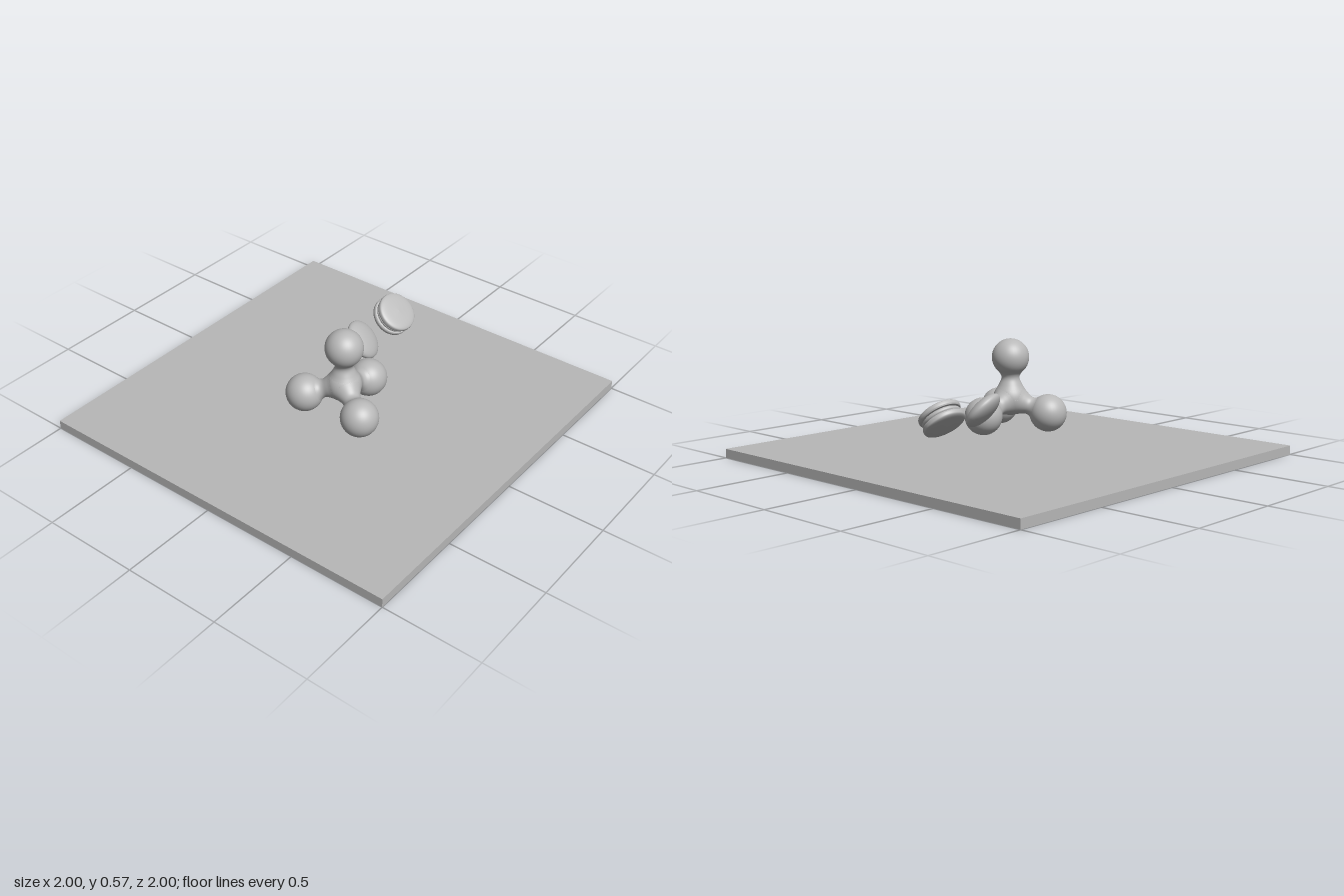
import * as THREE from 'three';

const UP = new THREE.Vector3(0, 1, 0);

// Smooth solid of revolution through a few [radius, height] points
function lathe(points, material, name, steps = 40) {
  const curve = new THREE.SplineCurve(points.map(([r, y]) => new THREE.Vector2(r, y)));
  const pts = curve.getPoints(steps);
  pts.forEach((p) => { p.x = Math.max(p.x, 0); });
  const mesh = new THREE.Mesh(new THREE.LatheGeometry(pts, 48), material);
  mesh.name = name;
  return mesh;
}

function ball(radius, material, name) {
  const mesh = new THREE.Mesh(new THREE.SphereGeometry(radius, 40, 28), material);
  mesh.name = name;
  return mesh;
}

export function createModel() {
  const model = new THREE.Group();
  const grey = new THREE.MeshStandardMaterial({ color: 0xb8b8b8 });
  grey.name = 'plain grey';

  // Square ground slab
  const slab = new THREE.Mesh(new THREE.BoxGeometry(2, 0.046, 2), grey);
  slab.name = 'slab';
  slab.position.y = 0.023;
  model.add(slab);

  // Four-ball tetrapod: a hub with flared necks leading to equal balls
  const tetrapod = new THREE.Group();
  tetrapod.name = 'tetrapod';
  tetrapod.position.set(-0.122, 0.27, 0.11);
  tetrapod.add(ball(0.088, grey, 'hub'));
  const ends = [[0, 0.21, 0], [0.197, -0.07, 0], [-0.098, -0.07, 0.17], [-0.098, -0.07, -0.17]];
  for (const end of ends) {
    const tip = new THREE.Vector3(...end);
    const neck = lathe(
      [[0.088, 0.0], [0.08, 0.035], [0.06, 0.07], [0.047, 0.1], [0.05, 0.122], [0.066, 0.142]],
      grey, 'neck');
    neck.quaternion.setFromUnitVectors(UP, tip.clone().normalize());
    const end1 = ball(0.095, grey, 'endBall');
    end1.position.copy(tip);
    tetrapod.add(neck, end1);
  }
  model.add(tetrapod);

  // Tilted lentil-shaped pebble
  const pebble = ball(1, grey, 'pebble');
  pebble.scale.set(0.106, 0.043, 0.106);
  pebble.position.set(0.243, 0.27, -0.053);
  pebble.quaternion.setFromUnitVectors(UP, new THREE.Vector3(0.27, 0.66, 0.7).normalize());
  model.add(pebble);

  // Tilted sandwich disc: two rounded shells with a recessed filling
  const disc = new THREE.Group();
  disc.name = 'sandwichDisc';
  disc.position.set(0.535, 0.27, -0.07);
  disc.quaternion.setFromUnitVectors(UP, new THREE.Vector3(-0.06, 0.75, 0.66).normalize());
  for (const side of [1, -1]) {
    const shell = lathe(
      [[0, 0.012], [0.09, 0.012], [0.104, 0.016], [0.106, 0.028], [0.1, 0.04], [0.07, 0.047], [0, 0.051]],
      grey, side > 0 ? 'upperShell' : 'lowerShell');
    if (side < 0) shell.rotation.x = Math.PI;
    disc.add(shell);
  }
  const filling = lathe([[0.088, -0.014], [0.097, -0.007], [0.099, 0], [0.097, 0.007], [0.088, 0.014]],
    grey, 'filling', 16);
  disc.add(filling);
  model.add(disc);

  return model;
}
